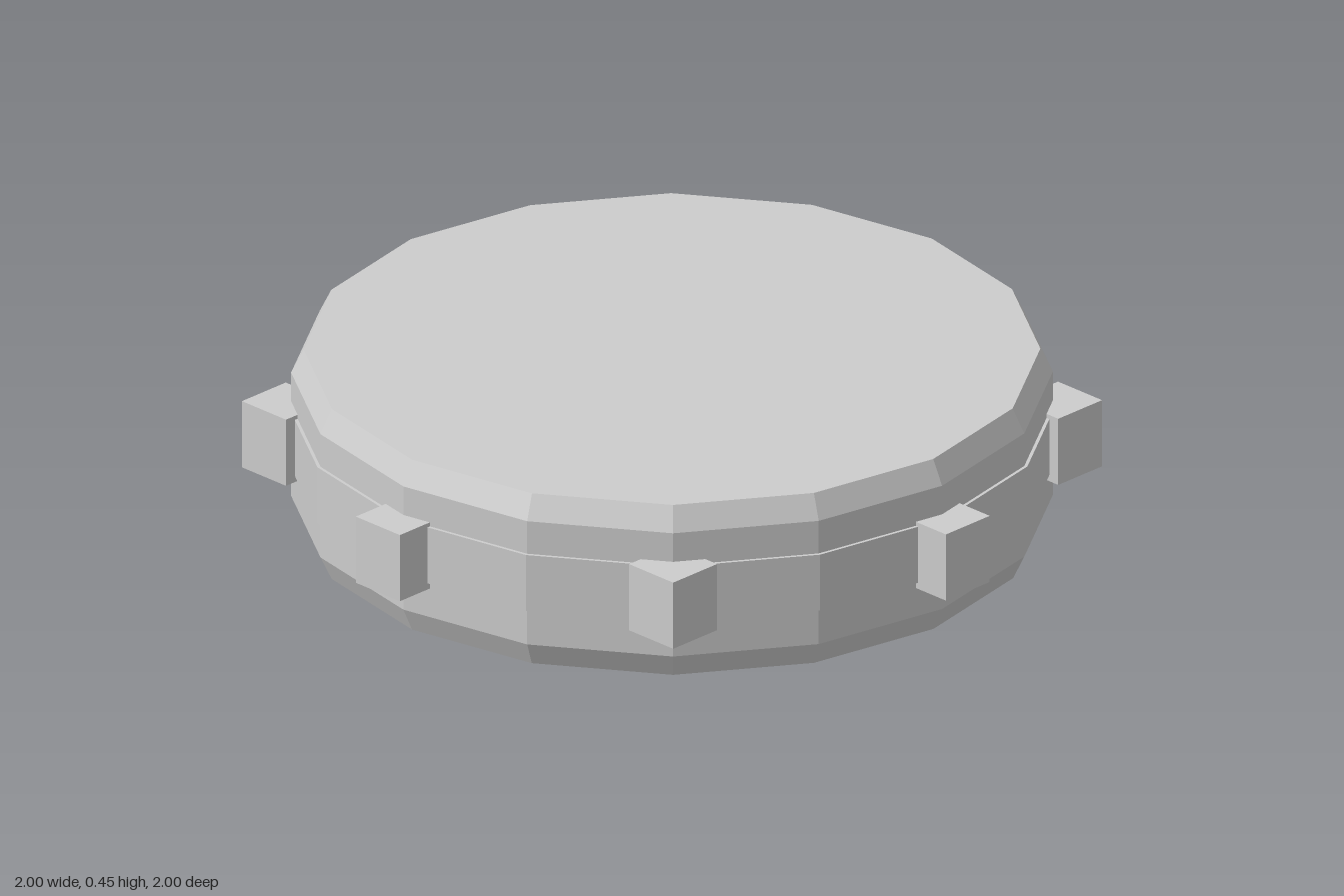
import * as THREE from 'three';

const SIDES = 16;
const MID_Y = 0.225;

export function createModel() {
  const model = new THREE.Group();
  // Double sided because the shell is thin and open underneath
  const grey = new THREE.MeshStandardMaterial({ color: 0xcccccc, side: THREE.DoubleSide });
  grey.name = 'light grey';

  const add = (name, geometry, x = 0, y = 0, z = 0) => {
    const mesh = new THREE.Mesh(geometry, grey);
    mesh.name = name;
    mesh.position.set(x, y, z);
    model.add(mesh);
  };

  // Faceted surface of revolution from [radius, y] pairs, bottom to top
  const faceted = (profile) => {
    const points = profile.map(([r, y]) => new THREE.Vector2(r, y));
    const geometry = new THREE.LatheGeometry(points, SIDES).toNonIndexed();
    geometry.computeVertexNormals();
    return geometry;
  };

  // Thin shell with bevelled rims, closed on top and open below
  add('shell', faceted([[0.884, 0], [0.913, 0.062], [0.913, 0.388], [0.883, 0.449], [0, 0.449]]));

  // Solid middle disc: its edge is the raised belt, its underside the ceiling of the recess
  add('middleDisc', faceted([[0, 0.154], [0.921, 0.154], [0.921, 0.302], [0, 0.302]]));

  // Eight unrotated studs around the belt
  const stud = new THREE.BoxGeometry(0.149, 0.175, 0.149);
  for (let i = 0; i < 8; i++) {
    const a = (i * Math.PI) / 4;
    add('stud', stud, 0.9255 * Math.sin(a), MID_Y, 0.9255 * Math.cos(a));
  }
  return model;
}
